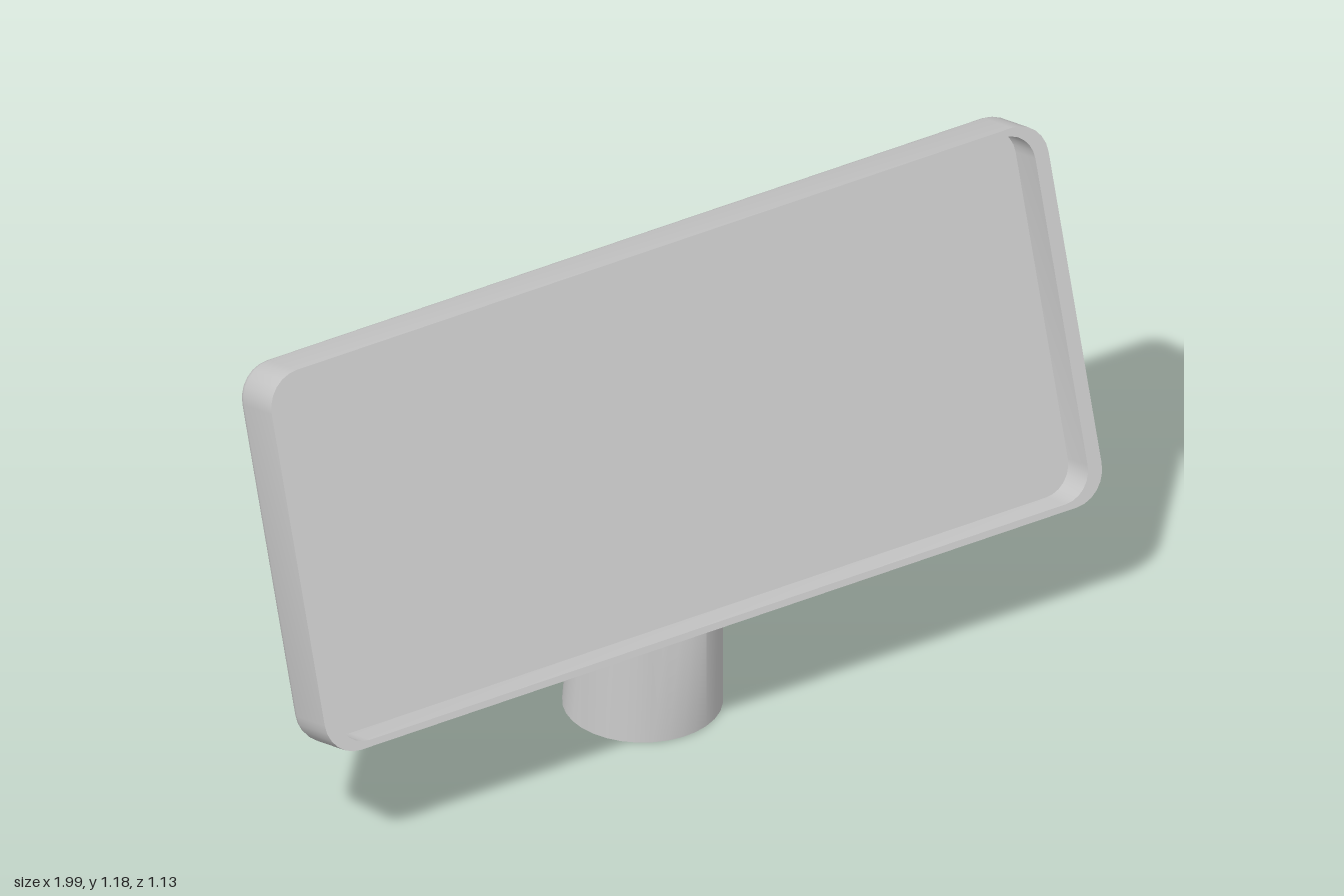
import * as THREE from 'three';
import { toCreasedNormals } from 'three/addons/utils/BufferGeometryUtils.js';

const YAW = THREE.MathUtils.degToRad(23.15);
const TILT = THREE.MathUtils.degToRad(17.4);
const W = 2.02, H = 0.885, D = 0.147, CENTRE_Y = 0.737;

// Joins equal-length rings of Vector3 into a closed skin, capping both ends.
function loft(rings) {
  const n = rings[0].length, index = [];
  for (let k = 0; k < rings.length - 1; k++) {
    for (let i = 0; i < n; i++) {
      const j = (i + 1) % n, a = k * n, b = a + n;
      index.push(a + i, a + j, b + j, a + i, b + j, b + i);
    }
  }
  const last = (rings.length - 1) * n;
  for (let i = 1; i < n - 1; i++) {
    index.push(0, i + 1, i, last, last + i, last + i + 1);
  }
  const geometry = new THREE.BufferGeometry().setFromPoints(rings.flat());
  geometry.setIndex(index);
  return toCreasedNormals(geometry.toNonIndexed(), 0.65);
}

// Rounded rectangle outline at depth z.
function roundedRing(w, h, r, z, steps = 6) {
  const points = [];
  for (let c = 0; c < 4; c++) {
    const sx = c === 0 || c === 3 ? 1 : -1, sy = c < 2 ? 1 : -1;
    for (let i = 0; i <= steps; i++) {
      const a = (c + i / steps) * Math.PI / 2;
      points.push(new THREE.Vector3(
        sx * (w / 2 - r) + r * Math.cos(a), sy * (h / 2 - r) + r * Math.sin(a), z));
    }
  }
  return points;
}

// Tray-shaped panel: rounded back edge, thin front rim and sunken screen.
function panelGeometry() {
  const fillet = 0.028, rings = [];
  for (let i = 0; i <= 4; i++) {
    const a = i / 4 * Math.PI / 2, inset = fillet * (1 - Math.sin(a));
    rings.push(roundedRing(W - 2 * inset, H - 2 * inset, 0.08 - inset,
      -D / 2 + fillet * (1 - Math.cos(a))));
  }
  rings.push(roundedRing(W, H, 0.08, D / 2));
  for (const z of [D / 2, D / 2 - 0.085]) {
    rings.push(roundedRing(W * 0.965, H * 0.965, 0.07, z));
  }
  return loft(rings);
}

// Half of the round stem; topOf maps a foot point to its top point.
function halfStem(startAngle, topOf) {
  const foot = [];
  for (let i = 0; i <= 16; i++) {
    const a = startAngle + i / 16 * Math.PI;
    foot.push(new THREE.Vector3(-0.047 + 0.177 * Math.cos(a), 0, -0.08 - 0.177 * Math.sin(a)));
  }
  return loft([foot, foot.map(topOf)]);
}

export function createModel() {
  const model = new THREE.Group();
  model.name = 'displayOnStem';
  const material = new THREE.MeshStandardMaterial({ color: 0xcccccc, side: THREE.DoubleSide });
  const add = (name, geometry) => {
    const mesh = new THREE.Mesh(geometry, material);
    mesh.name = name;
    model.add(mesh);
    return mesh;
  };

  const panel = add('panel', panelGeometry());
  panel.rotation.set(-TILT, YAW, 0, 'YXZ');
  panel.position.y = CENTRE_Y;

  const seam = THREE.MathUtils.degToRad(31.7), stemTop = 0.585;

  // Rear half leans sideways, along the panel, up to a flat top.
  add('rearStem', halfStem(seam, p =>
    new THREE.Vector3(p.x + 0.085 * stemTop, stemTop, p.z - 0.036 * stemTop)));

  // Front half stands upright and ends inside the tilted panel.
  add('frontStem', halfStem(seam + Math.PI, p => {
    const depth = p.x * Math.sin(YAW) + p.z * Math.cos(YAW);
    const y = CENTRE_Y - (depth + 0.05) / Math.tan(TILT);
    return new THREE.Vector3(p.x, THREE.MathUtils.clamp(y, 0.32, stemTop), p.z);
  }));

  return model;
}
